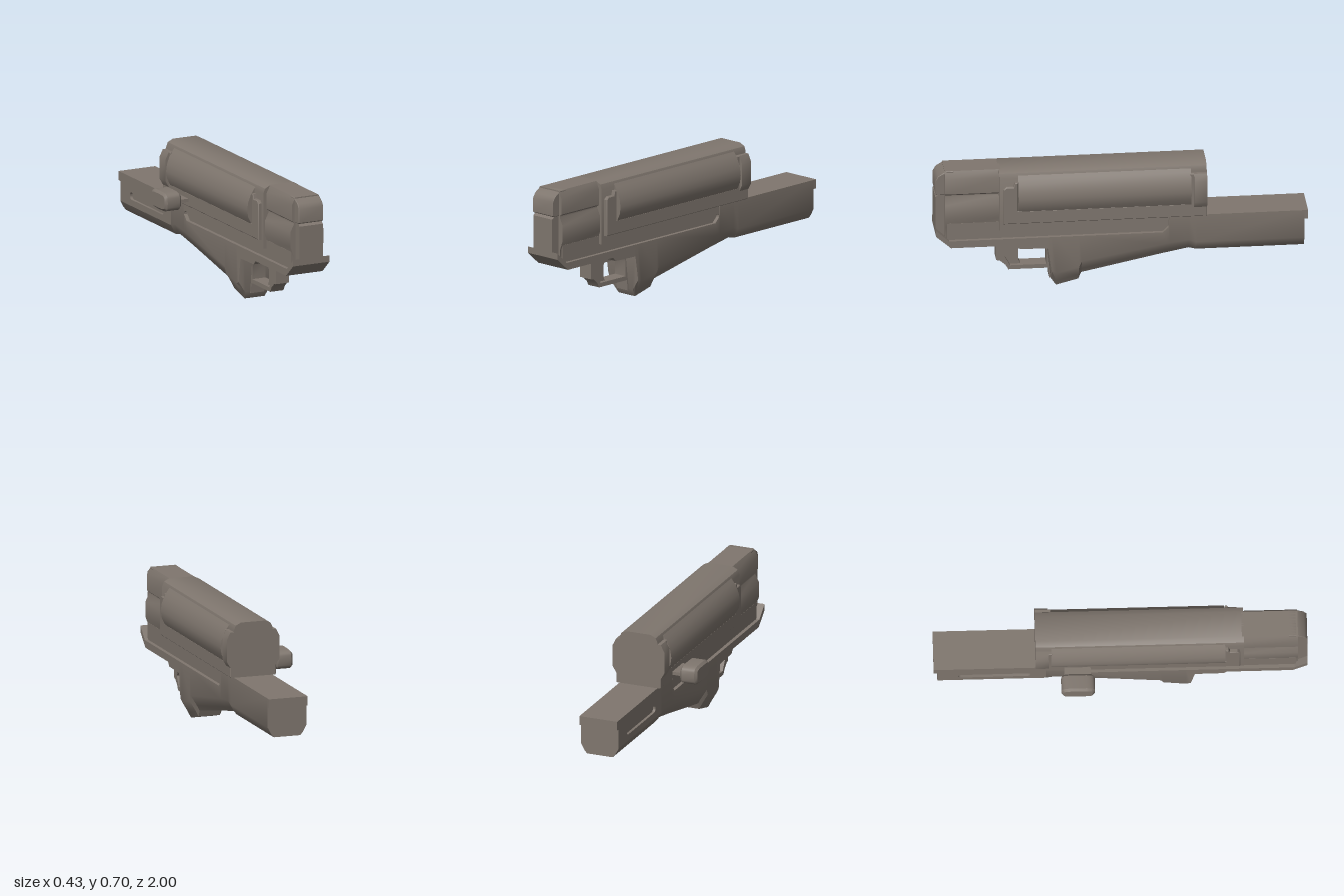
import * as THREE from 'three';
import { toCreasedNormals } from 'three/addons/utils/BufferGeometryUtils.js';

const CX = 0.06; // the body's centre line in x

export function createModel() {
  const group = new THREE.Group();
  const gunmetal = new THREE.MeshStandardMaterial({ color: 0x7f766e });
  gunmetal.name = 'warm grey metal';

  const add = (name, geo, x = CX, y = 0, z = 0, crease = 0.6) => {
    const mesh = new THREE.Mesh(toCreasedNormals(geo, crease), gunmetal);
    mesh.name = name;
    mesh.position.set(x, y, z);
    group.add(mesh);
    return mesh;
  };
  const toShape = (pts, holes = []) => {
    const shape = new THREE.Shape(pts.map((p) => new THREE.Vector2(...p)));
    holes.forEach((h) => shape.holes.push(new THREE.Path(h.map((p) => new THREE.Vector2(...p)))));
    return shape;
  };
  // Side outline given as (z, y), extruded across x, centred on x = 0
  const side = (pts, half, bevel = 0, holes = []) => {
    const depth = 2 * (half - bevel);
    return new THREE.ExtrudeGeometry(toShape(pts, holes), {
      depth, bevelEnabled: bevel > 0, bevelSize: bevel, bevelThickness: bevel,
      bevelOffset: -bevel, bevelSegments: 1,
    }).translate(0, 0, -depth / 2).rotateY(-Math.PI / 2);
  };
  // Cross-section given as (x, y), extruded from z0 to z1
  const along = (pts, z0, z1) =>
    new THREE.ExtrudeGeometry(toShape(pts), { depth: z1 - z0, bevelEnabled: false }).translate(0, 0, z0);
  // Right half of a section, top to bottom, mirrored into a closed loop
  const mirror = (half) => [...half, ...half.map(([x, y]) => [-x, y]).reverse()];
  // Skin over convex counter-clockwise sections, listed from front to back
  const loft = (sections) => {
    const n = sections[0].length;
    const pos = sections.flat(2);
    const index = [];
    const last = (sections.length - 1) * n;
    for (let s = 0; s < last; s += n) {
      for (let i = 0; i < n; i++) {
        const j = (i + 1) % n;
        index.push(s + i, s + n + i, s + j, s + j, s + n + i, s + n + j);
      }
    }
    for (let i = 1; i < n - 1; i++) index.push(0, i, i + 1, last, last + i + 1, last + i);
    const geo = new THREE.BufferGeometry();
    geo.setAttribute('position', new THREE.Float32BufferAttribute(pos, 3));
    geo.setIndex(index);
    return geo;
  };

  // Upper housing with chamfered top edges
  add('housing', along(mirror([[0.07, 0.7], [0.1, 0.685], [0.11, 0.66], [0.11, 0.4]]), -0.455, 0.66));

  // Rounded side covers
  add('sideCovers', along(mirror([
    [0.095, 0.686], [0.118, 0.655], [0.135, 0.628], [0.149, 0.59], [0.155, 0.55],
    [0.149, 0.51], [0.13, 0.472], [0.1, 0.472],
  ]), -0.37, 0.56));

  // Frame around the covers: front hook, bottom rail and rear post
  add('coverFrame', side([
    [0.64, 0.4], [0.64, 0.6], [0.625, 0.615], [0.585, 0.615], [0.578, 0.64], [0.562, 0.64],
    [0.562, 0.475], [-0.365, 0.475], [-0.365, 0.65], [-0.385, 0.65], [-0.4, 0.625],
    [-0.455, 0.625], [-0.455, 0.4],
  ], 0.13, 0.004));
  add('rearCollar', along(mirror([
    [0.11, 0.65], [0.13, 0.65], [0.15, 0.61], [0.15, 0.49], [0.13, 0.455],
  ]), -0.455, -0.385));

  // Ribbed front section and its nose
  add('frontSection', along(mirror([
    [0.07, 0.7], [0.09, 0.66], [0.09, 0.572], [0.078, 0.562], [0.078, 0.554], [0.1, 0.51],
    [0.1, 0.43], [0.08, 0.375], [0.08, 0.3],
  ]), 0.65, 0.95), CX, 0, 0, 0.5);
  add('noseTop', side([
    [0.9, 0.7], [0.94, 0.7], [0.985, 0.672], [1, 0.645], [1, 0.57], [0.99, 0.563], [0.9, 0.563],
  ], 0.074, 0.003));
  add('noseLower', side([[0.9, 0.563], [0.985, 0.563], [1, 0.55], [1, 0.37], [0.93, 0.304], [0.9, 0.304]], 0.07));

  // Lower tray with the upturned front lip
  add('tray', side([
    [1, 0.37], [1, 0.335], [0.92, 0.265], [0.57, 0.265], [0.55, 0.243], [0.395, 0.24],
    [0.395, 0.305], [0.93, 0.305],
  ], 0.11));

  // Narrow core makes the long side groove between tray and rail
  add('grooveCore', new THREE.BoxGeometry(0.18, 0.1, 1.22), CX, 0.35, 0.33);
  add('sideRail', side([[0.66, 0.355], [0.66, 0.402], [-0.25, 0.402], [-0.25, 0.345], [-0.235, 0.355]], 0.11));

  // Grip and wedge: z, top, bottom, chamfer height, half width of the bottom
  const gripSection = ([z, top, bottom, chamfer, foot]) => [
    [0.11, top, z], [-0.11, top, z], [-0.11, bottom + chamfer, z],
    [-(foot + 0.015), bottom + chamfer * 0.33, z], [-foot, bottom, z],
    [foot, bottom, z], [foot + 0.015, bottom + chamfer * 0.33, z], [0.11, bottom + chamfer, z],
  ];
  add('gripWedge', loft([
    [0.4, 0.305, 0.235, 0.02, 0.09],
    [0.377, 0.305, 0.045, 0.06, 0.07],
    [0.35, 0.305, 0.002, 0.09, 0.06],
    [0.23, 0.305, 0.033, 0.09, 0.06],
    [0.215, 0.305, 0.07, 0.085, 0.06],
    [-0.22, 0.305, 0.165, 0.07, 0.068],
    [-0.25, 0.335, 0.171, 0.07, 0.069],
    [-0.255, 0.4, 0.172, 0.07, 0.069],
    [-0.36, 0.4, 0.195, 0.06, 0.074],
    [-0.4, 0.4, 0.185, 0.055, 0.075],
  ].map(gripSection)));

  // Stock, with a thin slotted plate on the right flank
  add('stock', along([
    [0.11, 0.4], [-0.095, 0.4], [-0.095, 0.24], [-0.11, 0.24], [-0.09, 0.203], [-0.075, 0.185],
    [0.075, 0.185], [0.09, 0.203], [0.11, 0.24],
  ], -0.98, -0.4));
  const slot = [];
  for (let i = 0; i < 16; i++) {
    const a = -Math.PI / 2 + ((i + 0.5) / 16) * Math.PI * 2;
    slot.push([(i < 8 ? -0.5 : -0.85) + 0.02 * Math.cos(a), 0.295 + 0.02 * Math.sin(a)]);
  }
  add('slottedPlate', side([[-0.4, 0.24], [-0.4, 0.4], [-0.98, 0.4], [-0.98, 0.24]], 0.0075, 0, [slot]), CX - 0.1025);
  add('stockLip', new THREE.BoxGeometry(0.22, 0.05, 0.02), CX, 0.375, -0.99);

  // Trigger guard and trigger
  add('triggerGuard', side([
    [0.67, 0.266], [0.67, 0.152], [0.65, 0.148], [0.62, 0.122], [0.605, 0.095], [0.39, 0.095],
    [0.385, 0.037], [0.36, 0.037], [0.36, 0.25], [0.55, 0.25], [0.56, 0.266],
  ], 0.04, 0, [[[0.625, 0.17], [0.59, 0.225], [0.41, 0.225], [0.4, 0.2], [0.4, 0.118], [0.595, 0.118]]]));
  add('trigger', side([
    [0.63, 0.17], [0.595, 0.23], [0.535, 0.23], [0.55, 0.2], [0.55, 0.14], [0.535, 0.112], [0.6, 0.112],
  ], 0.018));

  // Charging handle on the right flank
  add('handleStem', new THREE.BoxGeometry(0.11, 0.018, 0.14), -0.075, 0.435, -0.23);
  const grip = [];
  for (let i = 0; i < 24; i++) {
    const a = (i / 24) * Math.PI * 2;
    const soft = (v) => Math.sign(v) * Math.sqrt(Math.abs(v));
    grip.push([0.09 * soft(Math.cos(a)), 0.052 * soft(Math.sin(a))]);
  }
  add('handleKnob', side(grip, 0.05, 0.013), -0.169, 0.437, -0.23, 0.7);

  return group;
}
